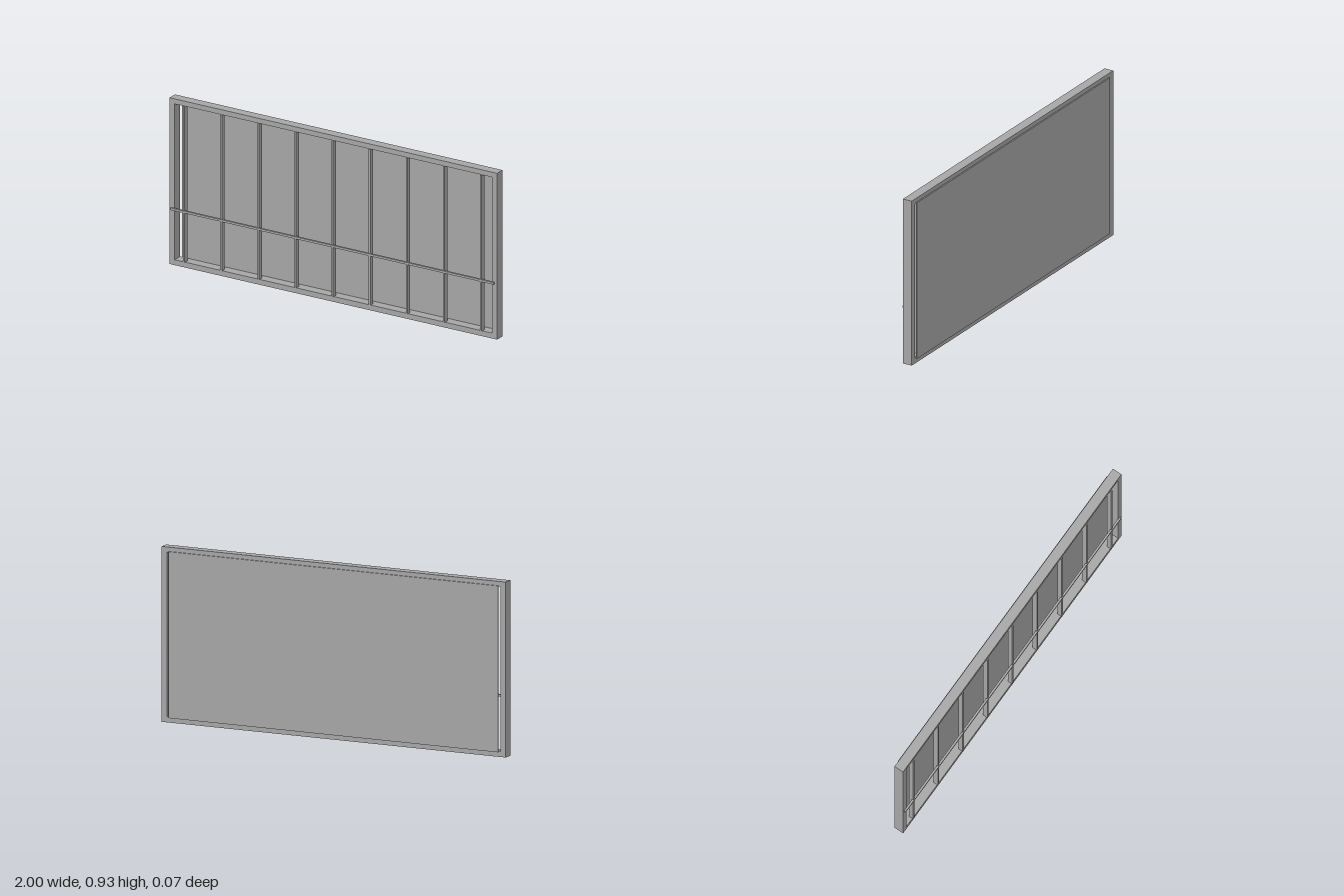
import * as THREE from 'three';

export function createModel() {
  const group = new THREE.Group();
  const gray = new THREE.MeshStandardMaterial({ color: 0xa6a6a6 });
  gray.name = 'plain gray';

  // Box given by its limits on each axis
  function box(name, x0, x1, y0, y1, z0, z1) {
    const mesh = new THREE.Mesh(new THREE.BoxGeometry(x1 - x0, y1 - y0, z1 - z0), gray);
    mesh.position.set((x0 + x1) / 2, (y0 + y1) / 2, (z0 + z1) / 2);
    mesh.name = name;
    group.add(mesh);
  }

  const height = 0.932, front = 0.026, back = -0.028;

  // Outer frame: full-width rails with stiles between them
  box('bottomRail', -1, 1, 0, 0.03, back, front);
  box('topRail', -1, 1, 0.904, height, back, front);
  box('rightStile', -1, -0.969, 0.03, 0.904, back, front);
  box('leftStile', 0.969, 1, 0.03, 0.904, back, front);

  // Thin sheet on the back, leaving a narrow slit beside each stile
  box('backPanel', -0.958, 0.958, 0.025, 0.909, -0.035, back);

  // Nine evenly spaced upright bars
  for (let i = 0; i < 9; i++) {
    const x = -0.909 + i * 0.2266;
    box('uprightBar' + (i + 1), x - 0.005, x + 0.005, 0.03, 0.904, 0.003, 0.031);
  }

  // Horizontal bar across the front
  box('crossBar', -0.99, 0.985, 0.308, 0.32, 0.024, 0.036);

  return group;
}
